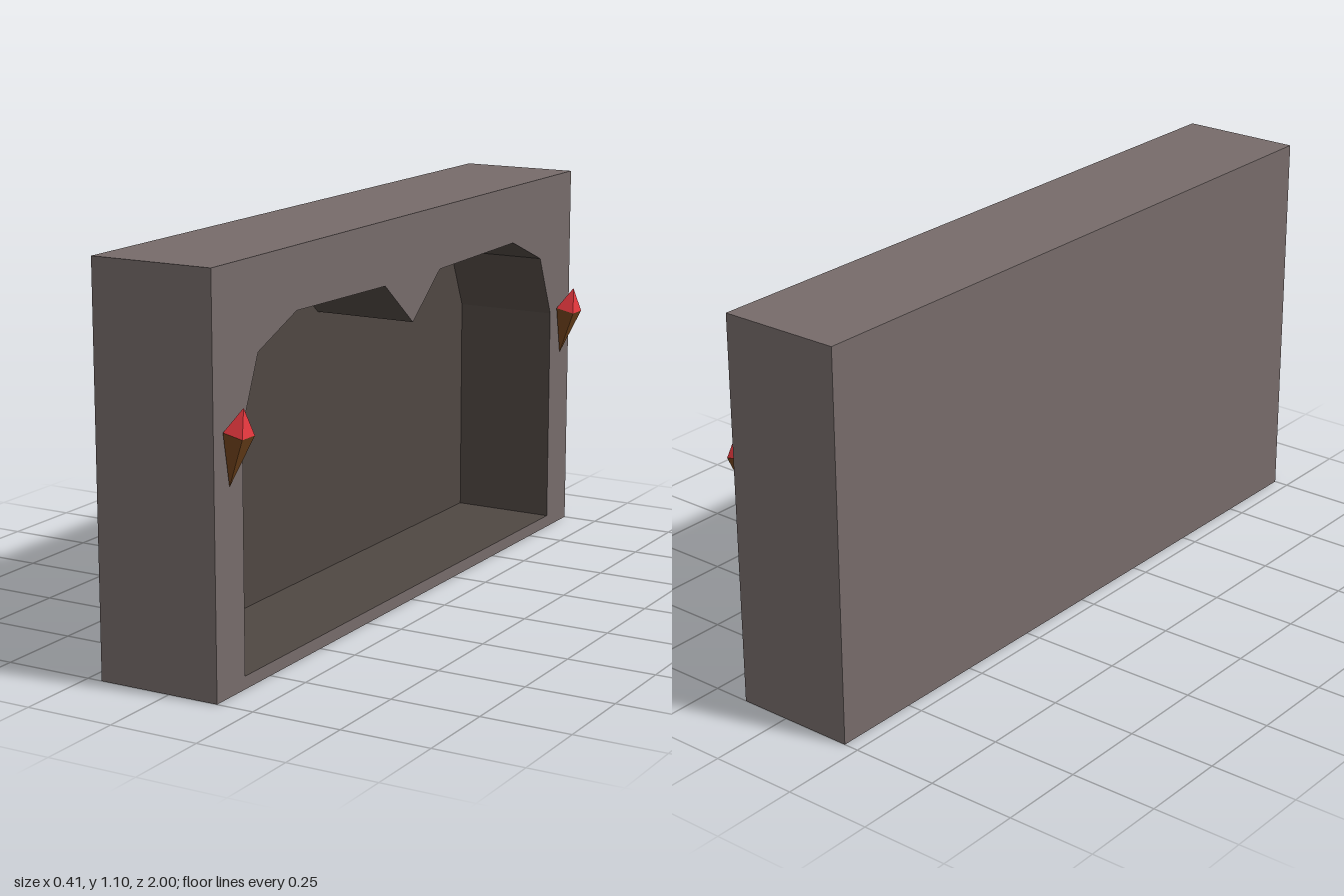
import * as THREE from 'three';

const FRONT = 0.145, BACK = -0.207, HEIGHT = 1.1, DEPTH = 0.305;

const paint = (color, extra = {}) =>
  new THREE.MeshStandardMaterial({ color, flatShading: true, ...extra });

function part(name, geometry, material) {
  const mesh = new THREE.Mesh(geometry, material);
  mesh.name = name;
  return mesh;
}

// Niche outline: one half from the floor up to the central point, then mirrored
function nicheOutline() {
  const half = [[0.87, 0.035], [0.87, 0.677], [0.794, 0.858], [0.61, 0.932], [0.155, 0.923]];
  const mirrored = half.map(([x, y]) => [-x, y]).reverse();
  return [...half, [0, 0.798], ...mirrored].map(([x, y]) => new THREE.Vector2(x, y));
}

// Inward-facing walls that follow the outline from z = -depth to z = 0
function wallGeometry(points, depth) {
  const corners = [];
  points.forEach((a, i) => {
    const b = points[(i + 1) % points.length];
    corners.push(a.x, a.y, -depth, a.x, a.y, 0, b.x, b.y, 0);
    corners.push(a.x, a.y, -depth, b.x, b.y, 0, b.x, b.y, -depth);
  });
  const geometry = new THREE.BufferGeometry();
  geometry.setAttribute('position', new THREE.Float32BufferAttribute(corners, 3));
  geometry.computeVertexNormals();
  return geometry;
}

// Torch: two square pyramids meeting at the rim, leaning out from the wall
function createTorch(name, z) {
  const torch = new THREE.Group();
  torch.name = name;
  const radius = 0.0405, handleLength = 0.141, flameLength = 0.069;
  const handle = new THREE.ConeGeometry(radius, handleLength, 4, 1)
    .rotateY(Math.PI / 4).rotateX(Math.PI).translate(0, -handleLength / 2, 0);
  const flame = new THREE.ConeGeometry(radius, flameLength, 4, 1)
    .rotateY(Math.PI / 4).translate(0, flameLength / 2, 0);
  torch.add(part('torchHandle', handle, paint(0x70431c)));
  torch.add(part('torchFlame', flame, paint(0xe6383e)));
  torch.position.set(0.177, 0.682, z);
  torch.rotation.z = -0.21;
  return torch;
}

export function createModel() {
  const model = new THREE.Group();
  model.name = 'wallNiche';
  const stone = paint(0x766b6a);
  const dark = paint(0x4f4742, { side: THREE.DoubleSide });
  const outline = nicheOutline();

  // Block without its +x face, which is replaced by the pierced panel
  const block = new THREE.BoxGeometry(FRONT - BACK, HEIGHT, 2);
  block.setIndex(Array.from(block.index.array).slice(6));
  block.clearGroups();
  block.translate((FRONT + BACK) / 2, HEIGHT / 2, 0);
  model.add(part('block', block, stone));

  // Panel and niche are drawn in xy, then turned to face +x
  const face = new THREE.Group();
  face.name = 'nicheFace';
  face.rotation.y = Math.PI / 2;
  face.position.x = FRONT;
  const panel = new THREE.Shape([[-1, 0], [1, 0], [1, HEIGHT], [-1, HEIGHT]]
    .map(([x, y]) => new THREE.Vector2(x, y)));
  panel.holes.push(new THREE.Path(outline));
  face.add(part('facePanel', new THREE.ShapeGeometry(panel), stone));
  face.add(part('nicheWalls', wallGeometry(outline, DEPTH), dark));
  const back = new THREE.ShapeGeometry(new THREE.Shape(outline)).translate(0, 0, -DEPTH);
  face.add(part('nicheBack', back, dark));
  model.add(face);

  // A torch on each side of the niche
  model.add(createTorch('frontTorch', 0.935), createTorch('backTorch', -0.935));
  return model;
}
